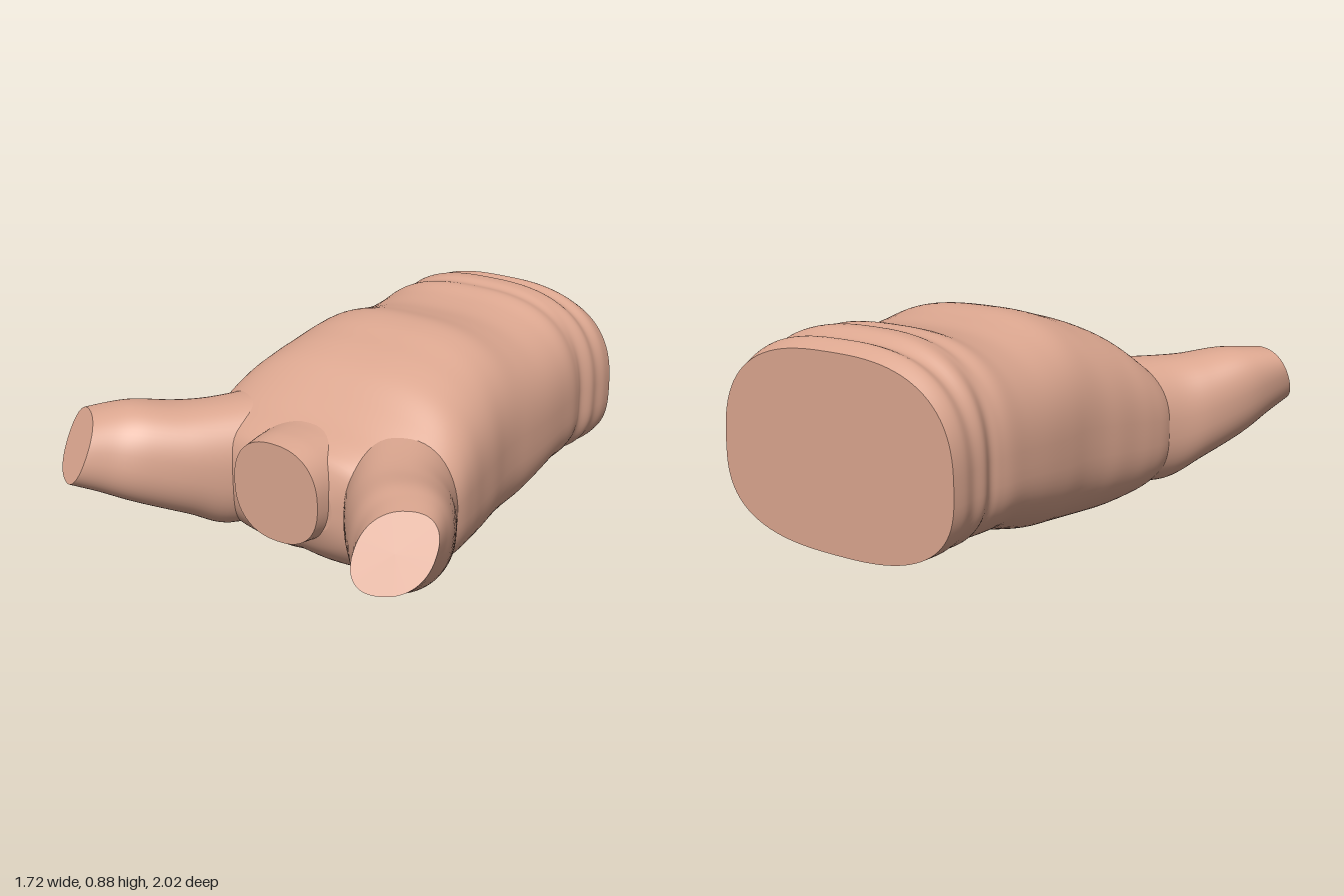
import * as THREE from 'three';

const skin = new THREE.MeshStandardMaterial({ color: 0xdba68f });
skin.name = 'skin';

// Rounded-square angle functions
const power = (v, n) => Math.sign(v) * Math.pow(Math.abs(v), 2 / n);

// Catmull-Rom interpolation of every column of a table of sections
function smoothRows(rows, steps) {
  const out = [];
  const at = (i) => rows[Math.min(Math.max(i, 0), rows.length - 1)];
  for (let i = 0; i < rows.length - 1; i++) {
    const last = i === rows.length - 2;
    for (let s = 0; s < steps + (last ? 1 : 0); s++) {
      const t = s / steps;
      out.push(rows[i].map((b, k) => {
        const a = at(i - 1)[k], c = at(i + 1)[k], d = at(i + 2)[k];
        return b + 0.5 * t * (c - a + t * (2 * a - 5 * b + 4 * c - d + t * (3 * (b - c) + d - a)));
      }));
    }
  }
  return out;
}

// Smooth skin through a list of closed rings
function loft(rings, name) {
  const n = rings[0].length, index = [];
  for (let i = 0; i < rings.length - 1; i++) {
    for (let j = 0; j < n; j++) {
      const a = i * n + j, b = i * n + (j + 1) % n;
      index.push(a, b, a + n, b, b + n, a + n);
    }
  }
  const geo = new THREE.BufferGeometry().setFromPoints(rings.flat());
  geo.setIndex(index);
  geo.computeVertexNormals();
  const mesh = new THREE.Mesh(geo, skin);
  mesh.name = name;
  return mesh;
}

// Flat disc closing a ring
function cap(ring, name, reversed = false) {
  const centre = ring.reduce((s, p) => s.add(p), new THREE.Vector3()).divideScalar(ring.length);
  const index = [];
  ring.forEach((_, j) => {
    const a = j + 1, b = (j + 1) % ring.length + 1;
    index.push(0, ...(reversed ? [b, a] : [a, b]));
  });
  const geo = new THREE.BufferGeometry().setFromPoints([centre, ...ring]);
  geo.setIndex(index);
  geo.computeVertexNormals();
  const mesh = new THREE.Mesh(geo, skin);
  mesh.name = name;
  return mesh;
}

function makeRing(count, point) {
  return Array.from({ length: count }, (_, j) => {
    const a = (j / count) * Math.PI * 2;
    return point(Math.cos(a), Math.sin(a));
  });
}

function makeTorso() {
  // z, half width, bottom, top, height of the widest point
  const rows = smoothRows([
    [-1, 0.52, 0.105, 0.83, 0.42],
    [-0.94, 0.525, 0.105, 0.862, 0.42],
    [-0.885, 0.517, 0.107, 0.852, 0.42],
    [-0.83, 0.522, 0.108, 0.88, 0.42],
    [-0.775, 0.503, 0.11, 0.882, 0.42],
    [-0.73, 0.513, 0.11, 0.868, 0.42],
    [-0.67, 0.525, 0.11, 0.874, 0.42],
    [-0.58, 0.53, 0.108, 0.85, 0.42],
    [-0.45, 0.537, 0.075, 0.836, 0.41],
    [-0.32, 0.538, 0.04, 0.85, 0.4],
    [-0.2, 0.536, 0.022, 0.87, 0.4],
    [-0.1, 0.543, 0.012, 0.86, 0.39],
    [0, 0.56, 0.006, 0.832, 0.38],
    [0.1, 0.573, 0, 0.803, 0.37],
    [0.2, 0.59, 0.007, 0.76, 0.36],
    [0.3, 0.597, 0.02, 0.69, 0.35],
    [0.4, 0.57, 0.045, 0.625, 0.34],
    [0.49, 0.49, 0.1, 0.58, 0.34],
    [0.55, 0.37, 0.165, 0.54, 0.35],
    [0.585, 0.22, 0.24, 0.47, 0.36],
  ], 5);
  const rings = rows.map(([z, w, lo, hi, mid]) => makeRing(96, (c, s) => {
    const x = w * power(c, 2.7);
    let y = mid + (s > 0 ? hi - mid : mid - lo) * power(s, 2.7);
    // Spine groove along the underside of the upper back
    if (s < 0) y += 0.03 * Math.exp(-((x / 0.06) ** 2) - (((z - 0.22) / 0.25) ** 2));
    return new THREE.Vector3(x, y, z);
  }));
  const torso = new THREE.Group();
  torso.name = 'torso';
  torso.add(loft(rings, 'torsoSkin'), cap(rings[0], 'waistCut', true),
    cap(rings[rings.length - 1], 'chestFront'));
  return torso;
}

function makeNeck() {
  // z, half width, half height, centre height
  const rows = smoothRows([
    [0.3, 0.3, 0.26, 0.37],
    [0.42, 0.25, 0.225, 0.385],
    [0.5, 0.225, 0.215, 0.392],
    [0.57, 0.21, 0.207, 0.397],
    [0.64, 0.2, 0.197, 0.397],
  ], 5);
  const rings = rows.map(([z, w, h, y]) => makeRing(64, (c, s) =>
    new THREE.Vector3(w * power(c, 2.35), y + h * power(s, 2.35), z)));
  const neck = new THREE.Group();
  neck.name = 'neck';
  neck.add(loft(rings, 'neckSkin'), cap(rings[rings.length - 1], 'neckCut'));
  return neck;
}

function makeArm(side, name) {
  // centre x, y, z, half width, half height, backward lean
  const rows = smoothRows([
    [0.33, 0.37, 0.28, 0.22, 0.25, 0],
    [0.44, 0.355, 0.465, 0.205, 0.255, 0],
    [0.53, 0.39, 0.59, 0.198, 0.222, 0.05],
    [0.63, 0.44, 0.73, 0.177, 0.19, 0.2],
    [0.695, 0.475, 0.83, 0.15, 0.153, 0.42],
    [0.743, 0.498, 0.92, 0.134, 0.123, 0.6],
  ], 6);
  const rings = rows.map(([x, y, z, w, h, lean]) => {
    const ring = makeRing(56, (c, s) => {
      const u = w * power(c, 2.3), v = h * power(s, 2.3);
      return new THREE.Vector3(side * (x + 0.88 * u), y + v, z - 0.48 * u - lean * v);
    });
    return side < 0 ? ring.reverse() : ring;
  });
  const arm = new THREE.Group();
  arm.name = name;
  arm.add(loft(rings, name + 'Skin'), cap(rings[rings.length - 1], name + 'Cut'));
  return arm;
}

export function createModel() {
  const model = new THREE.Group();
  model.name = 'torsoModel';
  model.add(makeTorso(), makeNeck(), makeArm(1, 'leftArm'), makeArm(-1, 'rightArm'));
  return model;
}
